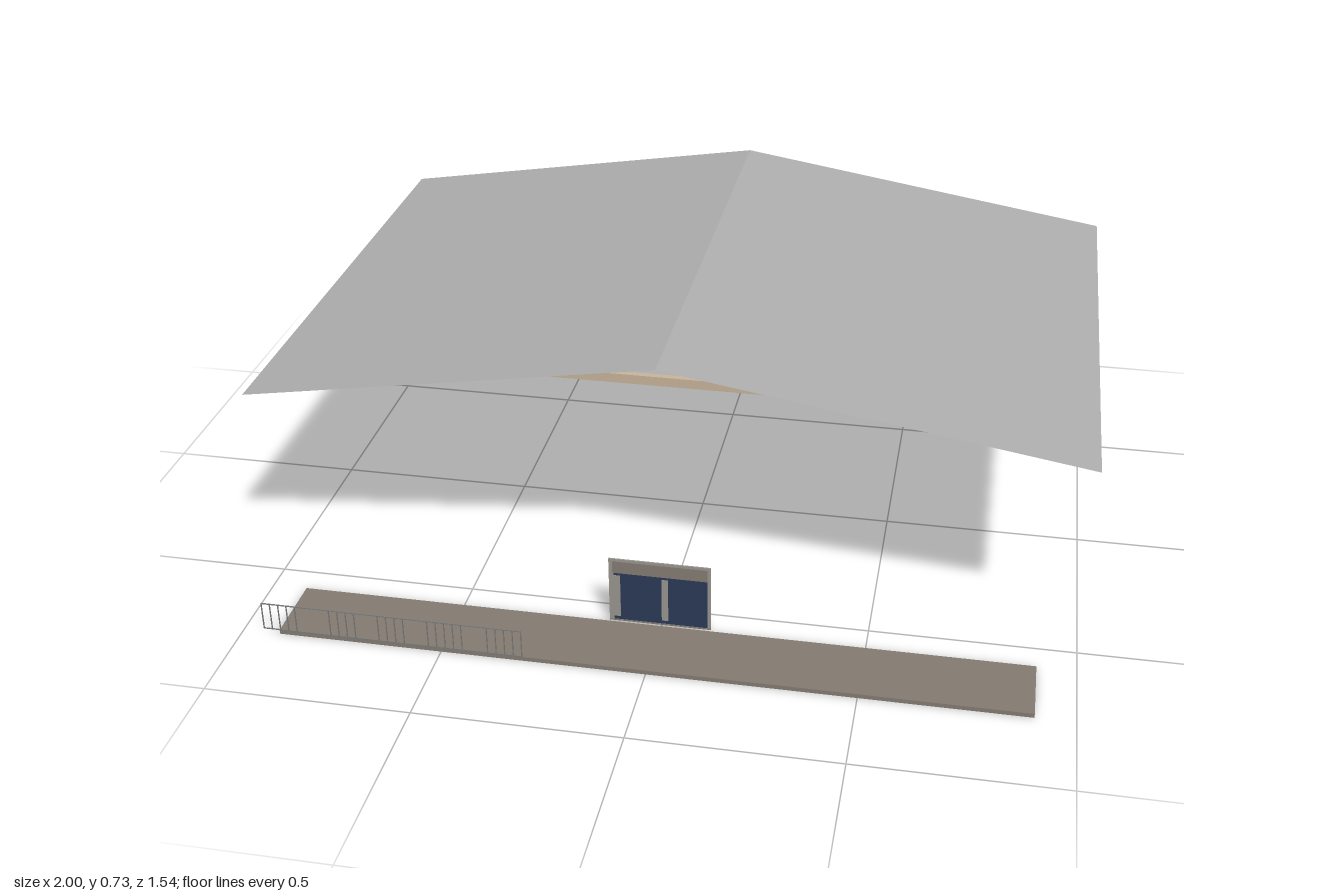
import * as THREE from 'three';

const mat = (name, color, side = THREE.FrontSide) => {
  const m = new THREE.MeshStandardMaterial({ color, side });
  m.name = name;
  return m;
};

export function createModel() {
  const roofGrey = mat('roof grey', 0xb0b0b0, THREE.DoubleSide);
  const timber = mat('timber', 0xc9b69c);
  const stone = mat('stone', 0x857d73);
  const glass = mat('navy glass', 0x2b3a57);
  const frameGrey = mat('frame grey', 0x9a968f);
  const railGrey = mat('rail grey', 0x7c7c7c);

  const model = new THREE.Group();
  model.name = 'pavilion';

  // box given by its extents
  const box = (parent, name, m, x0, x1, y0, y1, z0, z1) => {
    const mesh = new THREE.Mesh(new THREE.BoxGeometry(x1 - x0, y1 - y0, z1 - z0), m);
    mesh.position.set((x0 + x1) / 2, (y0 + y1) / 2, (z0 + z1) / 2);
    mesh.name = name;
    parent.add(mesh);
  };
  const group = (name) => {
    const g = new THREE.Group();
    g.name = name;
    model.add(g);
    return g;
  };

  // Gable roof: two thin sheets meeting at a ridge along z
  const roof = group('roof');
  const eave = 0.567, ridge = 0.728, front = 0.605, back = -0.768;
  for (const s of [-1, 1]) {
    const geo = new THREE.PlaneGeometry(1, front - back);
    geo.rotateX(-Math.PI / 2);
    geo.translate(s * 0.5, 0, (front + back) / 2);
    const p = geo.attributes.position;
    for (let i = 0; i < p.count; i++) p.setY(i, ridge - (ridge - eave) * Math.abs(p.getX(i)));
    geo.computeVertexNormals();
    const slope = new THREE.Mesh(geo, roofGrey);
    slope.name = s < 0 ? 'rightSlope' : 'leftSlope';
    roof.add(slope);
  }

  // Cross beams below the eaves
  const beams = group('beams');
  for (const z of [0.32, 0.055, -0.212, -0.478])
    box(beams, 'beam', timber, -0.977, 0.975, 0.534, 0.558, z - 0.008, z + 0.008);

  // Terrace
  box(model, 'terrace', stone, -0.907, 0.905, 0, 0.011, 0.585, 0.765);

  // Sliding door with lintel, jambs and handles rails
  const door = group('door');
  const z = 0.574;
  box(door, 'glassPanel', glass, -0.116, 0.116, 0.012, 0.147, z - 0.002, z + 0.001);
  box(door, 'lintel', stone, -0.119, 0.115, 0.147, 0.18, z - 0.002, z + 0.002);
  box(door, 'topFrame', frameGrey, -0.128, 0.123, 0.18, 0.187, z - 0.002, z + 0.002);
  box(door, 'sill', stone, -0.128, 0.123, 0.008, 0.012, z - 0.002, z + 0.002);
  box(door, 'rightJamb', frameGrey, -0.128, -0.116, 0.012, 0.18, z - 0.002, z + 0.002);
  box(door, 'leftJamb', frameGrey, 0.115, 0.123, 0.012, 0.18, z - 0.002, z + 0.002);
  for (const x of [-0.108, 0.01])
    box(door, 'mullion', frameGrey, x - 0.008, x + 0.008, 0.022, 0.14, z + 0.001, z + 0.003);

  // Railing: two rails and balusters in groups
  const railing = group('railing');
  const rz = 0.767, t = 0.0012;
  for (const y of [0.014, 0.086])
    box(railing, 'rail', railGrey, -0.945, -0.298, y - t, y + t, rz - t, rz + t);
  for (const [start, count] of [[-0.945, 5], [-0.775, 4], [-0.653, 4], [-0.53, 5], [-0.383, 5]])
    for (let i = 0; i < count; i++) {
      const x = start + i * 0.021;
      box(railing, 'baluster', railGrey, x - t, x + t, 0.014, 0.086, rz - t, rz + t);
    }

  return model;
}
